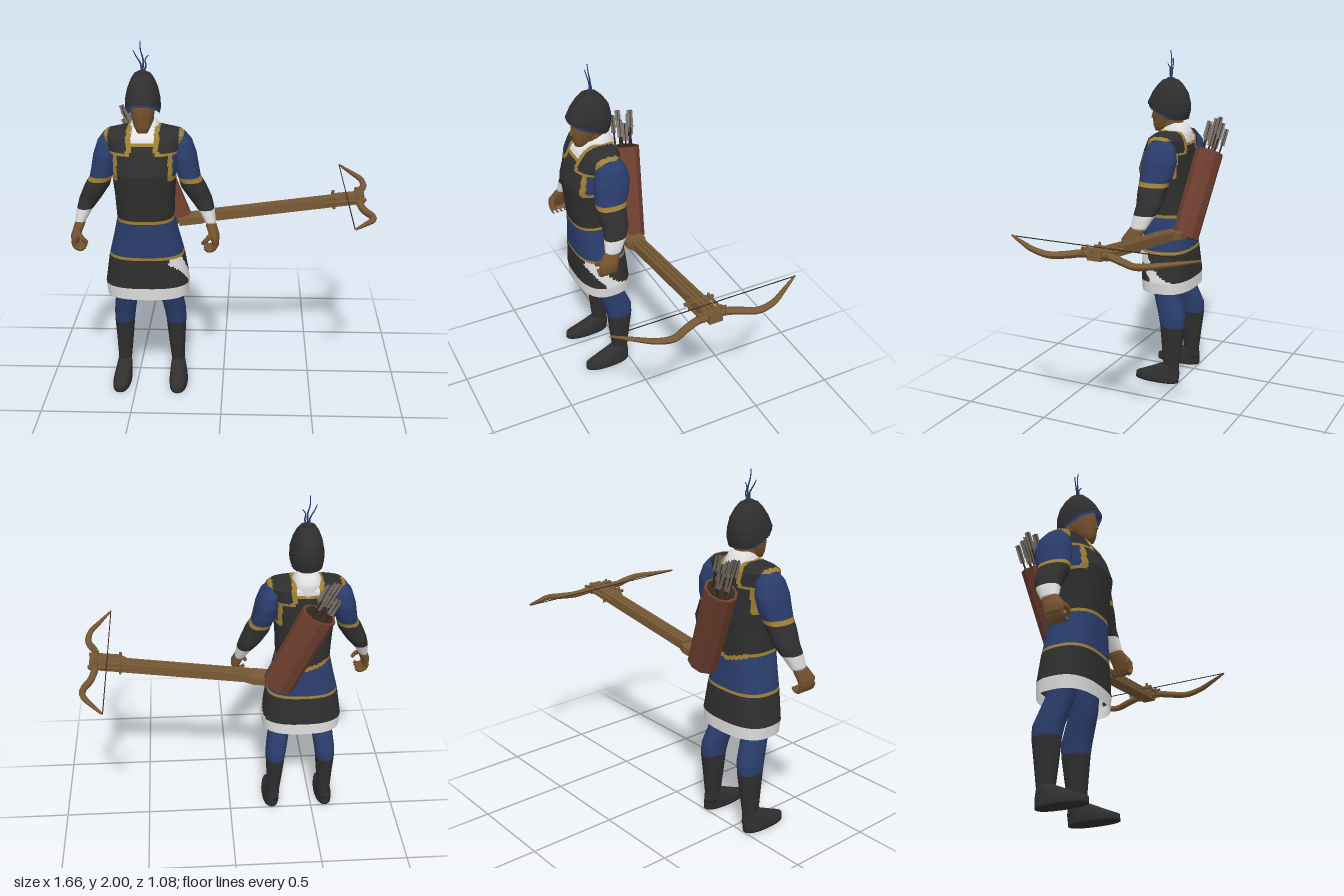
import * as THREE from 'three';

const V = (x, y, z) => new THREE.Vector3(x, y, z);
const mat = (name, color, side = THREE.FrontSide) => {
  const m = new THREE.MeshStandardMaterial({ color, side });
  m.name = name;
  return m;
};

export function createModel() {
  const black = mat('black armour', 0x2f2f2f, THREE.DoubleSide);
  const blue = mat('blue cloth', 0x2a3d6c, THREE.DoubleSide);
  const gold = mat('gold trim', 0x9f7f35);
  const white = mat('white fur', 0xe0e0e0, THREE.DoubleSide);
  const skin = mat('skin', 0x74522f);
  const wood = mat('wood', 0x785a36);
  const leather = mat('leather', 0x6f3f2f);
  const dark = mat('dark string', 0x33271c);
  const grey = mat('arrow grey', 0x77716a, THREE.DoubleSide);

  const model = new THREE.Group();
  model.name = 'crossbowman';
  const figure = new THREE.Group();
  figure.name = 'figure';
  figure.position.x = -0.423;
  model.add(figure);

  const add = (parent, name, geo, material) => {
    const mesh = new THREE.Mesh(geo, material);
    mesh.name = name;
    parent.add(mesh);
    return mesh;
  };

  // Level cross-sections [y, centre x, half width, front z, back z], bottom to top.
  // paint(x, y, z) gives the material of each small face, or null for a hole.
  function loft(parent, name, rows, paint, { seg = 24, sub = 3, exp = 2.3, caps = true } = {}) {
    const se = (v) => Math.sign(v) * Math.abs(v) ** (2 / exp);
    const pos = [], rings = (rows.length - 1) * sub + 1;
    for (let i = 0; i < rings; i++) {
      const k = Math.min(Math.floor(i / sub), rows.length - 2), t = i / sub - k;
      const [y, cx, hx, zf, zb] = rows[k].map((v, n) => v + (rows[k + 1][n] - v) * t);
      for (let j = 0; j < seg; j++) {
        const a = (j / seg) * Math.PI * 2;
        pos.push(cx + hx * se(Math.sin(a)), y, (zf + zb) / 2 + ((zf - zb) / 2) * se(Math.cos(a)));
      }
    }
    const faces = new Map();
    const put = (ids) => {
      const mid = [0, 1, 2].map((n) => ids.reduce((s, id) => s + pos[id * 3 + n], 0) / ids.length);
      const m = paint.isMaterial ? paint : paint(...mid);
      if (!m) return;
      if (!faces.has(m)) faces.set(m, []);
      const list = faces.get(m);
      list.push(ids[0], ids[1], ids[2]);
      if (ids.length === 4) list.push(ids[0], ids[2], ids[3]);
    };
    for (let i = 0; i < rings - 1; i++) for (let j = 0; j < seg; j++) {
      const n = (j + 1) % seg;
      put([i * seg + j, i * seg + n, (i + 1) * seg + n, (i + 1) * seg + j]);
    }
    if (caps) for (const top of [false, true]) {
      const r = top ? rows[rows.length - 1] : rows[0], base = top ? (rings - 1) * seg : 0;
      const c = pos.length / 3;
      pos.push(r[1], r[0], (r[3] + r[4]) / 2);
      for (let j = 0; j < seg; j++) {
        const p = base + j, q = base + ((j + 1) % seg);
        put(top ? [c, p, q] : [c, q, p]);
      }
    }
    const geo = new THREE.BufferGeometry(), index = [], mats = [...faces.keys()];
    mats.forEach((m, n) => {
      geo.addGroup(index.length, faces.get(m).length, n);
      for (const id of faces.get(m)) index.push(id);
    });
    geo.setAttribute('position', new THREE.Float32BufferAttribute(pos, 3));
    geo.setIndex(index);
    geo.computeVertexNormals();
    return add(parent, name, geo, mats);
  }

  // Tube along a curve, with its radius scaled by taper(t)
  function taperTube(parent, name, points, r, material, taper, n = 20, sides = 8) {
    const curve = new THREE.CatmullRomCurve3(points);
    const geo = new THREE.TubeGeometry(curve, n, r, sides), p = geo.attributes.position, v = V();
    for (let i = 0; i < p.count; i++) {
      const t = Math.floor(i / (sides + 1)) / n, c = curve.getPointAt(t);
      v.fromBufferAttribute(p, i).sub(c).multiplyScalar(taper(t)).add(c);
      p.setXYZ(i, v.x, v.y, v.z);
    }
    geo.computeVertexNormals();
    return add(parent, name, geo, material);
  }

  const align = (obj, a, b) => {
    obj.position.copy(a).lerp(b, 0.5);
    obj.quaternion.setFromUnitVectors(V(0, 1, 0), b.clone().sub(a).normalize());
    return obj;
  };
  const rod = (parent, name, a, b, r, material, sides = 6) =>
    align(add(parent, name, new THREE.CylinderGeometry(r, r, a.distanceTo(b), sides), material), a, b);

  // Armoured coat and skirt, open at the hem
  const coatPaint = (x, y, z) => {
    const w = Math.abs(x);
    if (y < 0.648) return white;
    if (y < 0.815) {
      const tornSide = x > 0.13 && z > 0 && y < 0.65 + 4.2 * z * z && y > 0.65 + 1.33 * (z - 0.155);
      return tornSide ? white : black;
    }
    if (y < 0.84) return gold;
    const belt = z < 0.06 ? 1.03 - 0.04 * Math.max(0, 1 - w / 0.13) : 1.03;
    if (y < belt) return blue;
    if (y < belt + 0.024) return gold;
    if (y < 1.27) return black;
    if (y < 1.41) return w < 0.135 ? black : w < 0.158 || y < 1.29 ? gold : blue;
    if (w > 0.215) return blue;
    if (w > 0.19 || (w > 0.062 && w < 0.088)) return gold;
    if (w > 0.088) return y < 1.425 ? gold : black;
    return y < 1.46 ? black : y < 1.478 ? gold : white;
  };
  loft(figure, 'coat', [
    [0.58, 0, 0.228, 0.27, -0.04], [0.65, 0, 0.235, 0.275, -0.04], [0.81, 0, 0.21, 0.275, -0.025],
    [0.93, 0, 0.18, 0.277, -0.012], [1.04, 0, 0.156, 0.28, 0], [1.18, 0, 0.163, 0.292, 0],
    [1.31, 0, 0.175, 0.308, -0.005], [1.42, 0, 0.19, 0.27, -0.005], [1.5, 0, 0.222, 0.225, 0.005],
    [1.52, 0, 0.205, 0.2, 0.02], [1.545, 0, 0.07, 0.165, 0.03],
  ], (x, y, z) => (y < 0.581 ? null : coatPaint(x, y, z)), { seg: 96, sub: 14, exp: 2.6 });

  // Collar, neck and face
  loft(figure, 'collar', [
    [1.46, 0, 0.09, 0.235, 0], [1.53, 0, 0.084, 0.185, 0], [1.565, 0, 0.068, 0.15, 0.02],
    [1.585, 0, 0.05, 0.12, 0.04],
  ], white);
  loft(figure, 'neck', [[1.5, 0, 0.05, 0.16, 0.05], [1.66, 0, 0.055, 0.18, 0.06]], skin);
  loft(figure, 'face', [
    [1.528, 0, 0.028, 0.228, 0.175], [1.56, 0, 0.046, 0.238, 0.13], [1.61, 0, 0.06, 0.243, 0.08],
    [1.66, 0, 0.066, 0.242, 0.06], [1.72, 0, 0.064, 0.23, 0.06],
  ], skin);
  const nose = add(figure, 'nose', new THREE.ConeGeometry(0.014, 0.05, 4), skin);
  nose.position.set(0, 1.625, 0.245);

  // Helmet with a face opening that slants down to the nape, and a blue lining
  const helmetRows = [
    [1.605, 0, 0.088, 0.25, 0.025], [1.65, 0, 0.094, 0.265, 0.012], [1.7, 0, 0.092, 0.27, 0.012],
    [1.755, 0, 0.08, 0.243, 0.025], [1.8, 0, 0.062, 0.21, 0.055], [1.83, 0, 0.043, 0.18, 0.085],
  ];
  const opening = (drop, m) => (x, y, z) => (y < 1.6 + (z - 0.06) * 0.46 - drop || y < 1.606 ? null : m);
  const hat = { seg: 40, sub: 8 };
  loft(figure, 'helmet', helmetRows, opening(0, black), hat);
  loft(figure, 'helmetLining', helmetRows.map(([y, x, w, f, b]) => [y - 0.004, x, w - 0.005, f - 0.005, b + 0.005]),
    opening(0.014, blue), hat);
  const knob = add(figure, 'helmetKnob', new THREE.SphereGeometry(0.03, 10, 6), black);
  knob.scale.y = 0.5;
  knob.position.set(0, 1.832, 0.132);
  for (const [x, y] of [[-0.045, 1.95], [-0.005, 2], [0.034, 1.925]]) {
    const h = y - 1.83;
    taperTube(figure, 'plumeStrand', [V(x * 0.1, 1.83, 0.13), V(x * 0.35 + 0.008, 1.83 + h * 0.4, 0.126),
      V(x * 0.6 - 0.004, 1.83 + h * 0.75, 0.13), V(x, y, 0.135)], 0.006, blue, (t) => 1 - 0.6 * t, 10, 5);
  }

  // Arms, hands, legs and boots
  for (const s of [1, -1]) {
    const side = s > 0 ? 'left' : 'right';
    const mirror = (rows) => rows.map(([y, x, w, f, b]) => [y, x * s, w, f, b]);
    loft(figure, side + 'Arm', mirror([
      [1.01, 0.36, 0.027, 0.22, 0.125], [1.08, 0.335, 0.044, 0.212, 0.085], [1.14, 0.304, 0.06, 0.205, 0.055],
      [1.21, 0.265, 0.069, 0.215, 0.048], [1.265, 0.241, 0.061, 0.217, 0.035], [1.31, 0.23, 0.063, 0.215, 0.015],
      [1.39, 0.215, 0.064, 0.21, 0], [1.46, 0.2, 0.055, 0.19, 0.015], [1.505, 0.19, 0.03, 0.15, 0.05],
    ]), (x, y) => (y > 1.275 ? blue : y > 1.25 ? gold : y > 1.085 ? black : white), { sub: 6 });
    loft(figure, side + 'Palm', mirror([
      [0.9, 0.388, 0.016, 0.265, 0.16], [0.95, 0.38, 0.027, 0.268, 0.15], [1.0, 0.362, 0.029, 0.235, 0.135],
      [1.03, 0.355, 0.024, 0.212, 0.13],
    ]), skin);
    for (let i = 0; i < 4; i++) {
      const z = 0.172 + i * 0.027;
      taperTube(figure, side + 'Finger', [V(0.39 * s, 0.925, z), V(0.378 * s, 0.888, z), V(0.348 * s, 0.876, z),
        V(0.325 * s, 0.893, z)], 0.015, skin, (t) => 1 - 0.35 * t, 8, 7);
    }
    taperTube(figure, side + 'Thumb', [V(0.368 * s, 0.965, 0.24), V(0.34 * s, 0.945, 0.262), V(0.315 * s, 0.918, 0.258)],
      0.017, skin, (t) => 1 - 0.4 * t, 8, 7);
    loft(figure, side + 'Leg', mirror([
      [0.05, 0.158, 0.038, 0.105, 0], [0.1, 0.157, 0.037, 0.1, 0.005], [0.25, 0.152, 0.048, 0.115, -0.015],
      [0.365, 0.15, 0.057, 0.125, -0.03], [0.43, 0.145, 0.061, 0.138, -0.03], [0.58, 0.122, 0.064, 0.182, 0.03],
      [0.86, 0.1, 0.085, 0.21, 0.02],
    ]), (x, y) => (y > 0.365 ? blue : black));
    loft(figure, side + 'Shoe', mirror([
      [0, 0.165, 0.052, 0.287, 0.003], [0.035, 0.163, 0.051, 0.285, 0], [0.065, 0.16, 0.046, 0.215, 0],
      [0.115, 0.157, 0.037, 0.105, 0.005],
    ]), black);
  }

  // Quiver slung across the back, with arrows
  const low = V(-0.265, 0.935, -0.035), high = V(-0.472, 1.415, -0.098), len = low.distanceTo(high);
  const quiver = align(new THREE.Group(), low, high);
  quiver.name = 'quiver';
  model.add(quiver);
  const caseMesh = add(quiver, 'quiverCase', new THREE.CylinderGeometry(0.082, 0.078, len, 10).toNonIndexed(), leather);
  caseMesh.geometry.computeVertexNormals();
  caseMesh.scale.x = 1.2;
  const mouth = add(quiver, 'quiverMouth', new THREE.CylinderGeometry(0.068, 0.068, 0.006, 10), dark);
  mouth.scale.x = 1.2;
  mouth.position.y = len / 2;
  for (let i = 0; i < 8; i++) {
    const a = i * 2.4, r = 0.02 + 0.005 * i, top = len / 2 + 0.13 + 0.025 * ((i * 3) % 4);
    const x = Math.cos(a) * r, z = Math.sin(a) * r;
    rod(quiver, 'arrowShaft', V(x, len / 2 - 0.05, z), V(x * 1.2, top, z * 1.2), 0.005, dark, 5);
    for (const turn of [0, 1]) {
      const vane = add(quiver, 'arrowVane', new THREE.BoxGeometry(0.032, 0.1, 0.003), grey);
      vane.position.set(x * 1.15, top - 0.05, z * 1.15);
      vane.rotation.y = a + (turn * Math.PI) / 2;
    }
  }

  // Crossbow stock: flared butt and three long rails
  const crossbow = new THREE.Group();
  crossbow.name = 'crossbow';
  model.add(crossbow);
  const stock = new THREE.Group();
  stock.name = 'stock';
  stock.position.set(-0.25, 0.965, -0.005);
  stock.rotation.z = 0.135;
  crossbow.add(stock);
  const half = [[0, 0.055], [0.12, 0.058], [0.17, 0.038], [1.045, 0.038]];
  const outline = [...half, ...half.map(([x, z]) => [x, -z]).reverse()].map(([x, z]) => new THREE.Vector2(x, z));
  const body = new THREE.ExtrudeGeometry(new THREE.Shape(outline), { depth: 0.04, bevelEnabled: false });
  body.rotateX(-Math.PI / 2);
  add(stock, 'stockBody', body, wood).position.y = -0.026;
  for (const z of [-0.027, 0, 0.027])
    add(stock, 'stockRail', new THREE.BoxGeometry(0.9, 0.014, 0.02), wood).position.set(0.595, 0.018, z);

  // Bow limbs, string and lashings
  for (const s of [1, -1]) {
    taperTube(crossbow, 'bowLimb', [V(0.755, 1.105, 0), V(0.752, 1.1, 0.08 * s), V(0.77, 1.087, 0.16 * s),
      V(0.804, 1.085, 0.24 * s), V(0.8, 1.098, 0.33 * s), V(0.742, 1.11, 0.44 * s), V(0.686, 1.122, 0.537 * s)],
      0.021, wood, (t) => 1 - 0.75 * t ** 2.5, 28);
    rod(crossbow, 'sideBrace', V(0.62, 1.095, 0.067 * s), V(0.79, 1.115, 0.067 * s), 0.009, wood);
    rod(crossbow, 'braceFoot', V(0.555, 1.075, 0.036 * s), V(0.62, 1.095, 0.067 * s), 0.009, wood);
    for (const [x, y] of [[0.615, 1.09], [0.745, 1.11]])
      rod(crossbow, 'bracePeg', V(x, y - 0.035, 0.055 * s), V(x, y + 0.035, 0.055 * s), 0.008, wood);
  }
  rod(crossbow, 'rearCrossbar', V(0.615, 1.1, -0.085), V(0.615, 1.1, 0.085), 0.01, wood);
  rod(crossbow, 'frontCrossbar', V(0.745, 1.125, -0.085), V(0.745, 1.125, 0.085), 0.01, wood);
  rod(crossbow, 'bowString', V(0.686, 1.12, -0.53), V(0.686, 1.12, 0.53), 0.0028, dark);
  return model;
}
